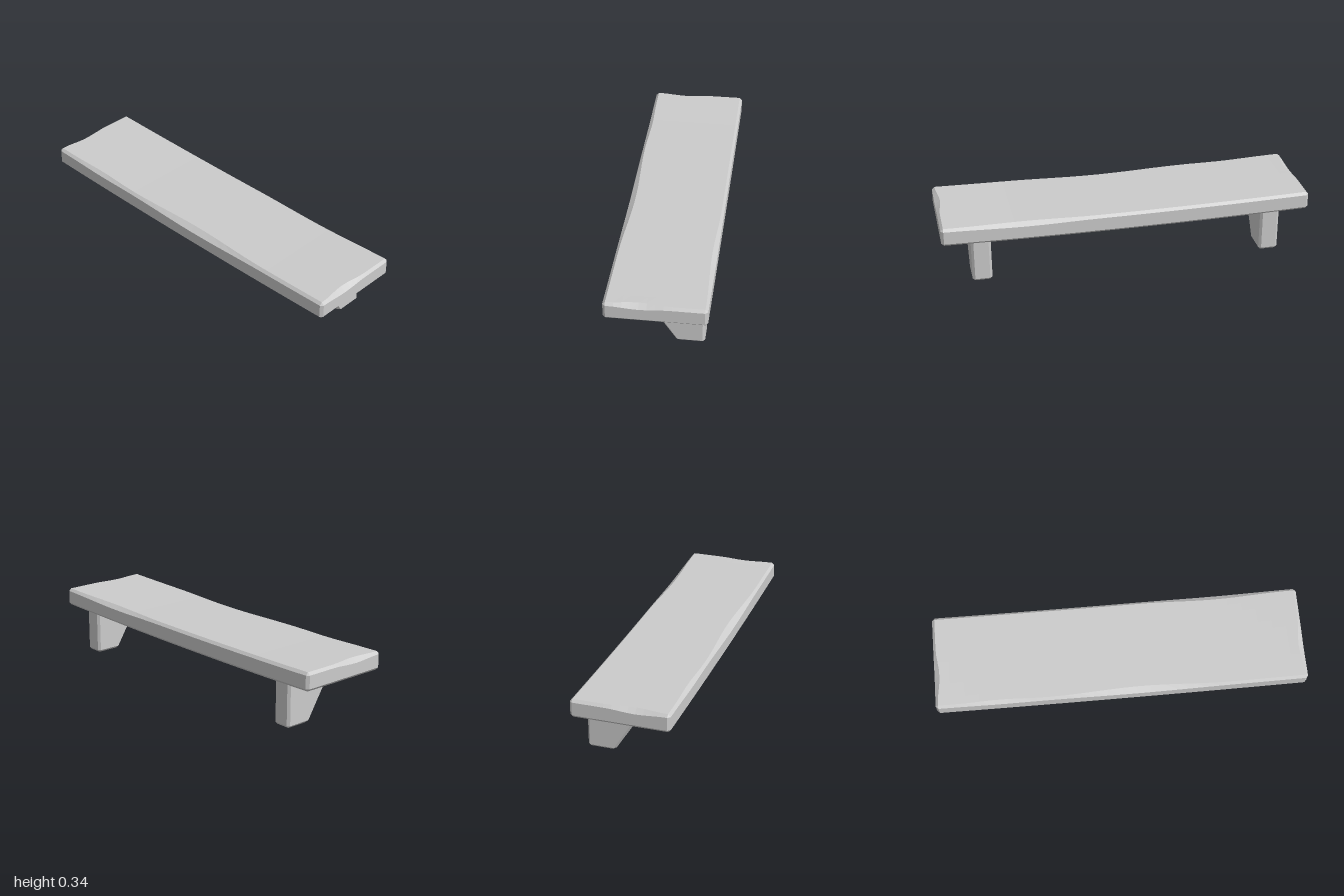
import * as THREE from 'three';

const material = new THREE.MeshStandardMaterial({ color: 0xcccccc, flatShading: true });
const C = 0.014; // chamfer size

// Skins closed rings of [x, y, z] points that follow each other along +x, and caps both ends.
function loft(name, rings) {
  const pos = [];
  const tri = (a, b, c) => pos.push(...a, ...b, ...c);
  const n = rings[0].length;
  for (let i = 0; i < rings.length - 1; i++) {
    for (let j = 0; j < n; j++) {
      const k = (j + 1) % n;
      const a = rings[i][j], b = rings[i][k], c = rings[i + 1][k], d = rings[i + 1][j];
      tri(a, b, c);
      tri(a, c, d);
    }
  }
  const centre = (r) => [0, 1, 2].map((q) => r.reduce((s, p) => s + p[q], 0) / n);
  const first = rings[0], last = rings[rings.length - 1];
  const c0 = centre(first), c1 = centre(last);
  for (let j = 0; j < n; j++) {
    const k = (j + 1) % n;
    tri(c0, first[k], first[j]);
    tri(c1, last[j], last[k]);
  }
  const g = new THREE.BufferGeometry();
  g.setAttribute('position', new THREE.Float32BufferAttribute(pos, 3));
  g.computeVertexNormals();
  const mesh = new THREE.Mesh(g, material);
  mesh.name = name;
  return mesh;
}

// Smooth bump of the given height, used for the worn edges
const bump = (t, mid, half, h) =>
  Math.abs(t - mid) < half ? h * 0.5 * (1 + Math.cos((Math.PI * (t - mid)) / half)) : 0;
const wearFront = (x) => bump(x, 0.1, 0.5, 0.018) + bump(x, -0.65, 0.25, 0.007);
const wearBack = (x) => bump(x, 0.55, 0.4, 0.012);
const wearEnd = (z) => bump(z, 0.08, 0.16, 0.015);

// One cross-section of the sagging board; a cap section is drawn in by the chamfer
function boardRing(x, cap = false) {
  const sag = 0.012 * (1 - x * x);
  const top = 0.343 - sag, bottom = 0.244 - sag;
  const wf = wearFront(x), wb = wearBack(x), W = 0.26, TOP = 12;
  const nearEnd = Math.abs(x) > 0.98;
  const ring = [];
  const zb = -W + C + wb, zf = W - C - wf;
  for (let i = 0; i <= TOP; i++) {
    const z = zb + ((zf - zb) * i) / TOP;
    const w = wearEnd(z);
    if (cap) ring.push([x, top - C - w * 0.6, z]);
    else ring.push([nearEnd ? x - Math.sign(x) * w : x, top, z]);
  }
  const side = cap ? W - C : W;
  const low = cap ? bottom + C : bottom;
  ring.push(
    [x, top - C - wf * 0.5, side],
    [x, bottom + C, side],
    [x, low, W - C],
    [x, low, -W + C],
    [x, bottom + C, -side],
    [x, top - C - wb * 0.5, -side],
  );
  return ring;
}

function makeBoard() {
  const rings = [boardRing(-1, true), boardRing(-1 + C)];
  for (let i = 0; i <= 24; i++) rings.push(boardRing(-0.92 + (1.84 * i) / 24));
  rings.push(boardRing(1 - C), boardRing(1, true));
  return loft('board', rings);
}

// Bracket with a slanted front and chamfered edges; outlines are [z, y]
function makeBracket(name, x) {
  const outer = [[-0.232, 0.255], [0.075, 0.255], [-0.08, 0.013], [-0.1, 0], [-0.22, 0], [-0.232, 0.013]];
  const inner = [[-0.22, 0.255], [0.06, 0.255], [-0.092, 0.013], [-0.092, 0.013], [-0.22, 0.013], [-0.22, 0.013]];
  const ring = (outline, dx) => outline.map(([z, y]) => [x + dx, y, z]);
  const h = 0.053;
  return loft(name, [ring(inner, -h), ring(outer, -h + 0.013), ring(outer, h - 0.013), ring(inner, h)]);
}

export function createModel() {
  const group = new THREE.Group();
  group.name = 'shelf';
  group.add(makeBoard(), makeBracket('leftBracket', 0.793), makeBracket('rightBracket', -0.793));
  return group;
}
